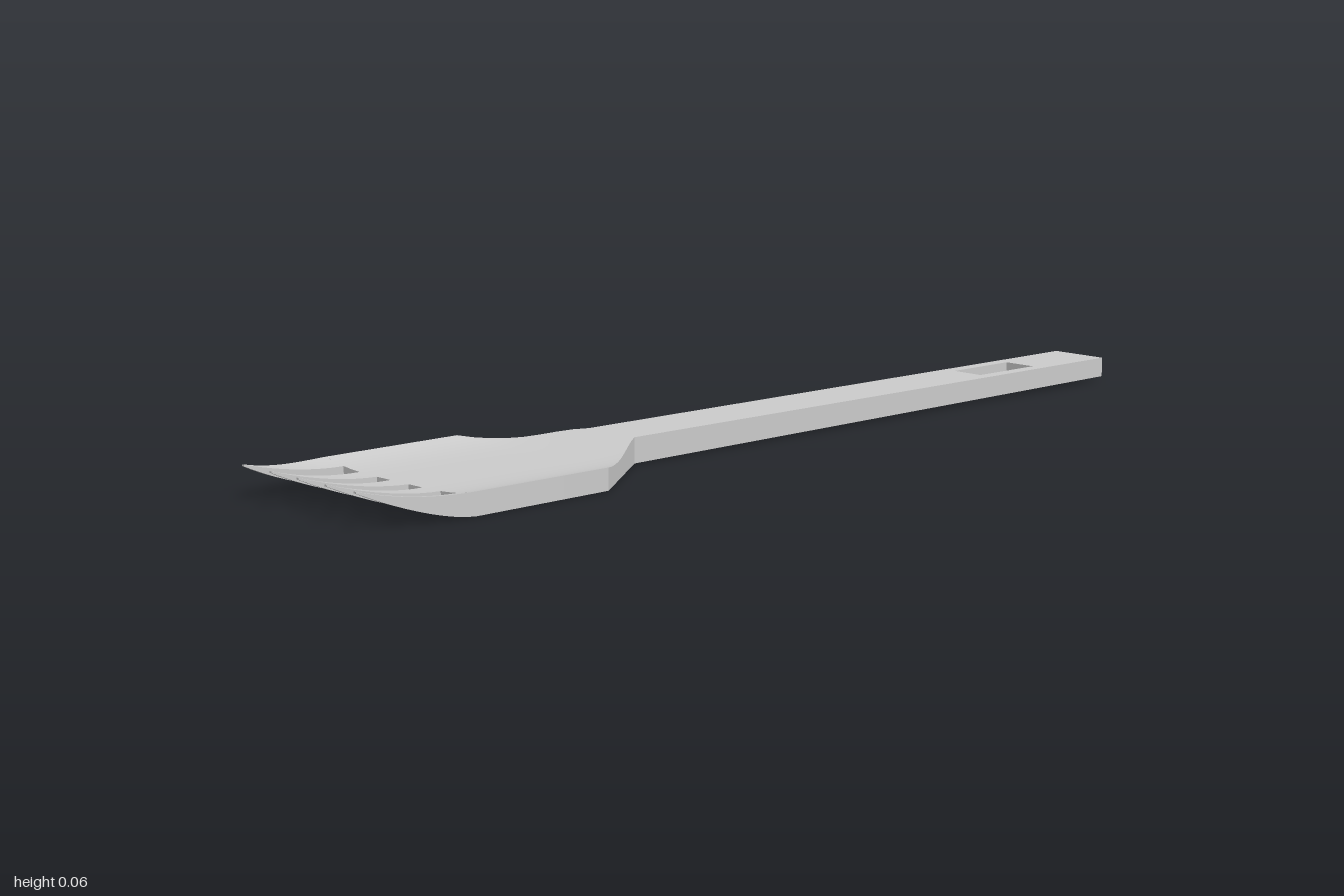
import * as THREE from 'three';
import { toCreasedNormals } from 'three/addons/utils/BufferGeometryUtils.js';

const { lerp, smoothstep } = THREE.MathUtils;
const NECK = -0.31, ROOT = -0.79, TIP = -1;
const material = new THREE.MeshStandardMaterial({ color: 0xcccccc });

// Underside: nearly flat, sweeping up beneath the tines
function bottomY(x) {
  const t = Math.max(0, (ROOT - x) / (ROOT - TIP));
  return 0.002 + 0.008 * Math.max(0, (x - ROOT) / (1 - ROOT)) + 0.061 * t ** 1.6;
}

// Upper side: a rim around a shallow dish, then curving up to the tips
function topY(x, z) {
  const t = Math.max(0, (ROOT - x) / (ROOT - TIP));
  const rim = 0.052 - 0.008 * smoothstep(x, -0.42, NECK) * -1 - 0.008;
  const dish = 0.015 * (1 - smoothstep(x, -0.5, NECK)) * (1 - Math.min(1, Math.abs(z) / 0.207) ** 4);
  return lerp(rim - dish, 0.066, t ** 1.8);
}

// Closed slab lofted through stations [x, z0, z1], listed from +x to -x
function slab(stations, cols) {
  const pos = [], index = [], n = cols + 1, ring = 2 * n;
  for (const [x, z0, z1] of stations) {
    for (let j = 0; j < n; j++) { const z = lerp(z0, z1, j / cols); pos.push(x, topY(x, z), z); }
    for (let j = cols; j >= 0; j--) pos.push(x, bottomY(x), lerp(z0, z1, j / cols));
  }
  for (let i = 0; i < stations.length - 1; i++) {
    for (let j = 0; j < ring; j++) {
      const a = i * ring + j, b = i * ring + (j + 1) % ring;
      index.push(a, a + ring, b, b, a + ring, b + ring);
    }
  }
  // End caps
  const last = (stations.length - 1) * ring;
  for (let j = 0; j < cols; j++) {
    const a = j, b = j + 1, c = ring - 2 - j, d = ring - 1 - j;
    index.push(a, b, c, a, c, d, last + a, last + c, last + b, last + a, last + d, last + c);
  }
  const g = new THREE.BufferGeometry();
  g.setAttribute('position', new THREE.Float32BufferAttribute(pos, 3));
  g.setIndex(index);
  return toCreasedNormals(g, 0.5);
}

// Straight handle with a rectangular hanging slot
function handleGeometry() {
  const rect = (C, x0, x1, h) => new C([[x0, -h], [x1, -h], [x1, h], [x0, h]].map(p => new THREE.Vector2(...p)));
  const shape = rect(THREE.Shape, NECK, 1, 0.062);
  shape.holes.push(rect(THREE.Path, 0.65, 0.81, 0.035));
  const g = new THREE.ExtrudeGeometry(shape, { depth: 1, bevelEnabled: false });
  g.rotateX(-Math.PI / 2);
  const p = g.attributes.position;
  for (let i = 0; i < p.count; i++) {
    const x = p.getX(i);
    p.setY(i, p.getY(i) > 0.5 ? lerp(0.052, 0.049, (x - NECK) / (1 - NECK)) : bottomY(x));
  }
  return toCreasedNormals(g, 0.5);
}

export function createModel() {
  const group = new THREE.Group();
  const add = (name, geometry) => {
    const mesh = new THREE.Mesh(geometry, material);
    mesh.name = name;
    group.add(mesh);
  };

  add('handle', handleGeometry());

  // Head widens from the neck, then runs parallel to the tine roots
  const stations = [];
  for (let i = 0; i <= 8; i++) {
    const w = lerp(0.062, 0.207, i / 8);
    stations.push([lerp(NECK, -0.5, i / 8), -w, w]);
  }
  for (const x of [-0.6, -0.7, ROOT]) stations.push([x, -0.207, 0.207]);
  add('head', slab(stations, 24));

  // Five tines: [root z0, root z1, tip z]
  const tines = [[-0.207, -0.158, -0.156], [-0.112, -0.063, -0.077], [-0.025, 0.025, 0],
    [0.063, 0.112, 0.077], [0.158, 0.207, 0.156]];
  tines.forEach(([a, b, tip], k) => {
    const rows = [];
    for (let i = 0; i <= 10; i++) {
      const t = i / 10;
      // Outward edges bow, inward edges run straight
      const ea = a < -0.05 ? t ** 1.5 : t, eb = b > 0.05 ? t ** 1.5 : t;
      rows.push([lerp(ROOT, TIP, t), lerp(a, tip - 0.003, ea), lerp(b, tip + 0.003, eb)]);
    }
    add('tine' + (k + 1), slab(rows, 4));
  });
  return group;
}
